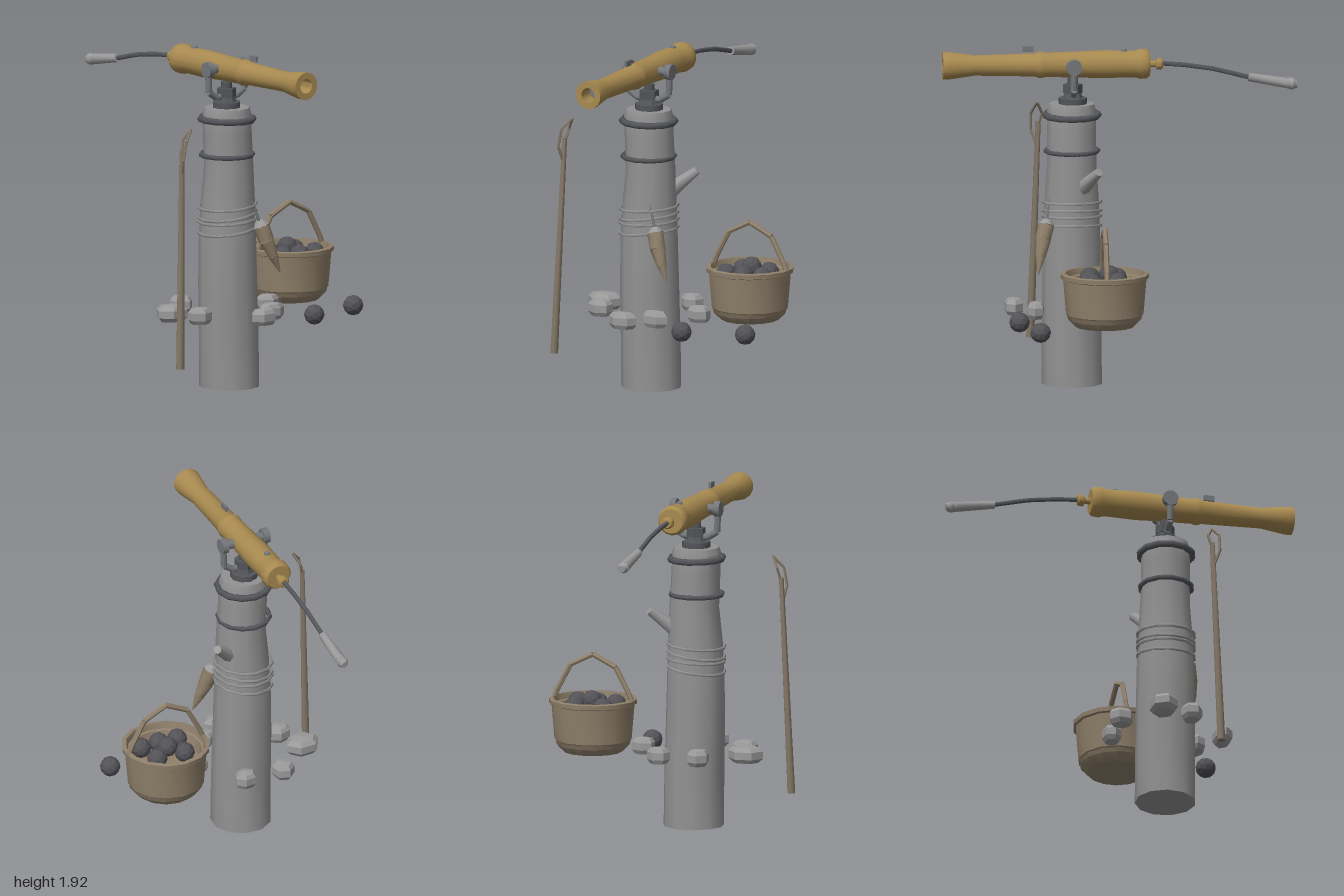
import * as THREE from 'three';
import { toCreasedNormals } from 'three/addons/utils/BufferGeometryUtils.js';

const paint = (name, color) => {
  const m = new THREE.MeshStandardMaterial({ color });
  m.name = name;
  return m;
};
const V = (p) => new THREE.Vector3(...p);

export function createModel() {
  const root = new THREE.Group();
  const wood = paint('weathered post', 0x929292);
  const stone = paint('pale stone', 0x9a9a9a);
  const iron = paint('dark iron', 0x54565a);
  const steel = paint('worn steel', 0x74777b);
  const shot = paint('shot iron', 0x525257);
  const brass = paint('brass', 0xa88a50);
  const tan = paint('bucket wood', 0x8f806a);
  const staffWood = paint('staff wood', 0x857968);

  const add = (name, geo, mat, pos = [0, 0, 0], parent = root, crease = 0.65) => {
    const mesh = new THREE.Mesh(toCreasedNormals(geo, crease), mat);
    mesh.name = name;
    mesh.position.set(...pos);
    parent.add(mesh);
    return mesh;
  };
  const group = (name, pos = [0, 0, 0]) => {
    const g = new THREE.Group();
    g.name = name;
    g.position.set(...pos);
    root.add(g);
    return g;
  };
  const lathe = (pts, sides) =>
    new THREE.LatheGeometry(pts.map(([r, y]) => new THREE.Vector2(r, y)), sides);
  // Tapered bar from a to b
  const bar = (name, a, b, r1, r2, mat, parent = root, sides = 8) => {
    const d = V(b).sub(V(a));
    const mesh = add(name, new THREE.CylinderGeometry(r2, r1, d.length(), sides), mat, [0, 0, 0], parent, 0.9);
    mesh.position.copy(V(a)).addScaledVector(d, 0.5);
    mesh.quaternion.setFromUnitVectors(new THREE.Vector3(0, 1, 0), d.normalize());
    return mesh;
  };
  const chain = (name, pts, radii, mat, parent, sides) => {
    for (let i = 0; i < pts.length - 1; i++)
      bar(name, pts[i], pts[i + 1], radii[i] ?? radii[0], radii[i + 1] ?? radii[0], mat, parent, sides);
  };

  // Post, with its axis wandering slightly
  const axis = [[0, -0.135, 0.172], [0.3, -0.138, 0.17], [0.6, -0.145, 0.168], [0.85, -0.147, 0.163],
    [1.05, -0.145, 0.155], [1.25, -0.138, 0.141], [1.45, -0.148, 0.139], [1.56, -0.152, 0.139], [1.595, -0.152, 0.128]];
  const postGeo = lathe([[0, 0.005], ...axis.map(([y, , r]) => [r, Math.max(y, 0.005)]), [0, 1.595]], 11);
  const pp = postGeo.attributes.position;
  for (let i = 0; i < pp.count; i++) {
    const y = pp.getY(i);
    const k = Math.max(1, axis.findIndex((a) => a[0] >= y - 1e-6));
    const [a, b] = [axis[k - 1], axis[k]];
    pp.setX(i, pp.getX(i) + THREE.MathUtils.lerp(a[1], b[1], Math.min(1, (y - a[0]) / (b[0] - a[0]))));
    pp.setZ(i, pp.getZ(i) + 0.273);
  }
  add('post', postGeo, wood);

  // Iron hoops and rope turns
  const ring = (name, x, y, R, r, mat, tilt) => {
    const g = new THREE.TorusGeometry(R, r, 6, 12).rotateX(Math.PI / 2);
    add(name, g, mat, [x, y, 0.273], root, 1.2).rotation.z = tilt;
  };
  ring('upperHoop', -0.153, 1.53, 0.15, 0.019, iron, -0.02);
  ring('lowerHoop', -0.153, 1.327, 0.147, 0.014, iron, 0);
  [1.035, 0.985, 0.955, 0.9].forEach((y, i) => ring('ropeTurn', -0.15, y, 0.164, 0.009, wood, i % 2 ? 0.13 : 0.07));

  // Branch stub
  bar('branchStub', [-0.04, 1.13, 0.22], [0.08, 1.24, 0.135], 0.045, 0.025, stone, root, 7);

  // Swivel mount
  const mount = group('swivelMount', [-0.152, 0, 0.268]);
  add('mountPlate', new THREE.CylinderGeometry(0.08, 0.08, 0.035, 10), iron, [0, 1.61, 0], mount);
  add('mountNeck', new THREE.CylinderGeometry(0.045, 0.06, 0.04, 8), iron, [0, 1.64, 0], mount);
  add('mountNut', new THREE.CylinderGeometry(0.054, 0.054, 0.05, 6), iron, [0, 1.68, 0], mount);
  bar('mountSpindle', [0, 1.69, 0], [0, 1.74, 0], 0.03, 0.03, iron, mount);
  for (const s of [-1, 1]) {
    chain('yokeArm', [[0, 1.66, 0], [s * 0.07, 1.655, 0], [s * 0.125, 1.69, 0], [s * 0.13, 1.82, 0]], [0.019], steel, mount);
    bar('trunnion', [0, 1.82, 0], [s * 0.145, 1.82, 0], 0.026, 0.026, steel, mount);
    bar('yokeEye', [s * 0.112, 1.82, 0], [s * 0.148, 1.82, 0], 0.045, 0.045, steel, mount, 10);
  }

  // Barrel, breech to muzzle, then back into the bore
  const barrel = lathe([
    [0, -0.24], [0.024, -0.24], [0.033, -0.23], [0.033, -0.205], [0.018, -0.197], [0.018, -0.165],
    [0.07, -0.165], [0.083, -0.15], [0.086, -0.11], [0.077, -0.085], [0.077, -0.02], [0.08, 0.1], [0.075, 0.22],
    [0.07, 0.42], [0.075, 0.44], [0.075, 0.46], [0.066, 0.48], [0.058, 0.82], [0.068, 0.89],
    [0.078, 0.96], [0.079, 1], [0.042, 1], [0.04, 0.9],
  ], 14).rotateX(Math.PI / 2);
  add('barrel', barrel, brass, [-0.155, 1.816, 0]);
  add('boreEnd', new THREE.CircleGeometry(0.041, 14), steel, [-0.155, 1.816, 0.902]);
  add('ventCap', new THREE.SphereGeometry(0.02, 8, 6), steel, [-0.155, 1.888, -0.02]);
  add('foreSight', new THREE.BoxGeometry(0.014, 0.032, 0.06), steel, [-0.155, 1.906, 0.52]);

  // Tiller with grip
  const T = (z, y) => [-0.155, y, z];
  chain('tillerRod', [T(-0.23, 1.818), T(-0.36, 1.808), T(-0.52, 1.785), T(-0.63, 1.758), T(-0.74, 1.73)], [0.013], iron);
  chain('tillerGrip', [T(-0.72, 1.735), T(-0.94, 1.698), T(-0.972, 1.694), T(-0.998, 1.69)], [0.024, 0.03, 0.034, 0.02], stone);

  // Powder horn
  const horn = [[-0.03, 0.925, 0.425], [-0.005, 0.84, 0.445], [0.03, 0.75, 0.462], [0.066, 0.66, 0.476]];
  chain('powderHorn', horn, [0.048, 0.044, 0.028, 0.004], tan);
  bar('hornCap', horn[0], [-0.04, 0.955, 0.42], 0.048, 0.022, stone);
  bar('hornSpike', [-0.037, 0.945, 0.42], [-0.082, 1.1, 0.4], 0.01, 0.003, steel, root, 5);

  // Match staff with wire fork
  bar('staff', [-0.645, 0.182, 0.477], [-0.6, 1.42, 0.435], 0.023, 0.014, staffWood);
  chain('forkWire', [[-0.604, 1.27, 0.44], [-0.62, 1.37, 0.475], [-0.6, 1.47, 0.475], [-0.545, 1.535, 0.445]],
    [0.008], staffWood, root, 5);
  chain('forkWire', [[-0.602, 1.38, 0.437], [-0.582, 1.47, 0.415], [-0.545, 1.535, 0.445]], [0.008], staffWood, root, 5);

  // Bucket
  const bucket = group('bucket', [0.411, 0, 0.122]);
  add('bucketBody', lathe([
    [0, 0.42], [0.165, 0.42], [0.206, 0.46], [0.212, 0.485], [0.218, 0.49], [0.235, 0.69], [0.248, 0.695], [0.25, 0.72],
    [0.225, 0.724], [0.218, 0.69], [0.205, 0.685], [0.19, 0.62], [0, 0.62],
  ], 14), tan, [0, 0, 0], bucket);
  chain('bucketHandle', [[-0.232, 0.71, 0], [-0.212, 0.76, 0], [-0.135, 0.905, 0], [0, 0.972, 0],
    [0.135, 0.905, 0], [0.212, 0.76, 0], [0.232, 0.71, 0]], [0.015], tan, bucket, 6);

  // Shot, in the bucket and loose
  [[0.328, 0.682, 0.05], [0.497, 0.682, 0.055], [0.41, 0.713, 0.1], [0.302, 0.682, 0.2], [0.413, 0.682, 0.21],
    [0.527, 0.682, 0.2], [0.222, 0.415, 0.59], [0.575, 0.415, 0.493]].forEach((p) =>
    add('shot', new THREE.IcosahedronGeometry(0.058, 1), shot, p, root, 0.2));

  // Stones around the post: x, z, half width, half depth, turn
  [[-0.476, 0.185, 0.1, 0.08, 0.1], [-0.412, 0.36, 0.072, 0.06, 0.4], [-0.26, -0.01, 0.064, 0.07, 0.7],
    [-0.025, -0.01, 0.066, 0.055, 0.2], [0.155, 0.25, 0.068, 0.056, 0.5], [0, 0.485, 0.082, 0.05, -0.2],
    [-0.145, 0.6, 0.085, 0.055, 0.1]].forEach(([x, z, w, d, turn]) => {
    const g = lathe([[0, -0.052], [0.75, -0.044], [1, -0.02], [1, 0.022], [0.75, 0.044], [0, 0.052]], 6);
    g.rotateY(Math.PI / 6 + turn).scale(w, 1, d);
    add('stone', g, stone, [x, 0.443, z], root, 0.05);
  });

  return root;
}
